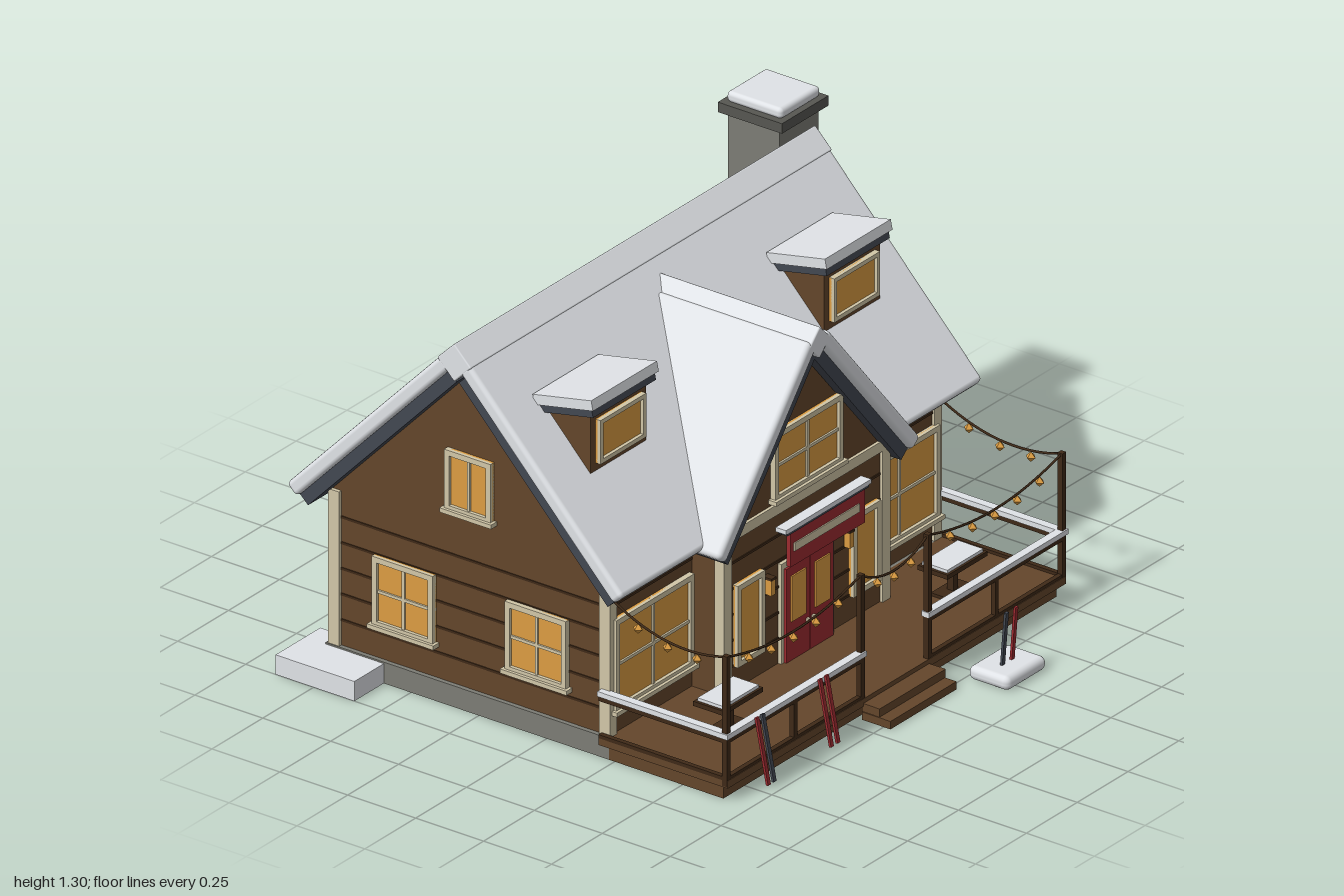
import * as THREE from 'three';
import { RoundedBoxGeometry } from 'three/addons/geometries/RoundedBoxGeometry.js';

const mat = (name, color) => {
  const m = new THREE.MeshStandardMaterial({ color });
  m.name = name;
  return m;
};

export function createModel() {
  const snow = mat('snow', 0xe3e6ea), slate = mat('slate', 0x434852), wood = mat('wood', 0x64462b);
  const darkWood = mat('dark wood', 0x3f2a18), stone = mat('stone', 0x7d7d75), darkStone = mat('dark stone', 0x575752);
  const glow = mat('window glow', 0xdc9c42), cream = mat('cream trim', 0xd2c7a8), red = mat('red paint', 0x9c2b30);
  const model = new THREE.Group();
  model.name = 'cabin';
  const CX = -0.035, CZ = -0.29; // house centre

  const add = (parent, name, geo, material, x = 0, y = 0, z = 0) => {
    const m = new THREE.Mesh(geo, material);
    m.name = name;
    m.position.set(x, y, z);
    parent.add(m);
    return m;
  };
  const group = (name, x = 0, y = 0, z = 0, ry = 0, parent = model) => {
    const g = new THREE.Group();
    g.name = name;
    g.position.set(x, y, z);
    g.rotation.y = ry;
    parent.add(g);
    return g;
  };
  // box given by its min and max along each axis; r rounds the edges
  const span = (name, material, x0, x1, y0, y1, z0, z1, r = 0, parent = model) => {
    const s = [x1 - x0, y1 - y0, z1 - z0];
    const geo = r ? new RoundedBoxGeometry(...s, 2, r) : new THREE.BoxGeometry(...s);
    return add(parent, name, geo, material, (x0 + x1) / 2, (y0 + y1) / 2, (z0 + z1) / 2);
  };
  // gable-ended wall block, extruded along z
  const gableBlock = (half, y0, eave, apex, depth) => {
    const s = new THREE.Shape([[-half, y0], [half, y0], [half, eave], [0, apex], [-half, eave]]
      .map(p => new THREE.Vector2(...p)));
    return new THREE.ExtrudeGeometry(s, { depth, bevelEnabled: false }).translate(0, 0, -depth / 2);
  };
  // two snowy slopes and a diamond ridge, running along z
  const gableRoof = (g, H, slope, W, len, capY, capHalf) => {
    const a = Math.atan(slope), c = Math.cos(a), n = Math.sin(a);
    const slab = (name, s, material, d0, d1, t0, t1, l, r) => {
      const d = (d0 + d1) / 2, t = (t0 + t1) / 2, L = d1 - d0, T = t1 - t0;
      const geo = r ? new RoundedBoxGeometry(L, T, l, 2, r) : new THREE.BoxGeometry(L, T, l);
      add(g, name, geo, material, s * (d * c - t * n), H - d * n - t * c).rotation.z = -s * a;
    };
    for (const s of [-1, 1]) {
      slab('roofSnow', s, snow, 0.075, W / c, 0, 0.05, len, 0.015);
      slab('roofBoards', s, slate, 0.1, W / c - 0.005, 0.048, 0.09, len - 0.04, 0);
    }
    const side = capHalf * Math.SQRT2;
    add(g, 'ridgeSnow', new RoundedBoxGeometry(side, side, len, 1, 0.005), snow, 0, capY).rotation.z = Math.PI / 4;
  };
  // framed window facing +z
  const windowUnit = (name, w, h, x, y, z, ry = 0, cols = 2, rows = 2, f = 0.018, parent = model) => {
    const g = group(name, x, y, z, ry, parent);
    span('pane', glow, -w / 2, w / 2, -h / 2, h / 2, 0, 0.008, 0, g);
    for (const s of [-1, 1]) {
      add(g, 'frameSide', new THREE.BoxGeometry(f, h, 0.022), cream, s * (w - f) / 2, 0, 0.008);
      add(g, 'frameRail', new THREE.BoxGeometry(w, f, 0.022), cream, 0, s * (h - f) / 2, 0.008);
    }
    for (let i = 1; i < cols; i++)
      add(g, 'mullion', new THREE.BoxGeometry(0.01, h, 0.016), cream, -w / 2 + w * i / cols, 0, 0.006);
    for (let i = 1; i < rows; i++)
      add(g, 'crossbar', new THREE.BoxGeometry(w, 0.01, 0.016), cream, 0, -h / 2 + h * i / rows, 0.006);
    if (cols > 1) add(g, 'sill', new THREE.BoxGeometry(w + 0.02, 0.014, 0.034), cream, 0, -h / 2, 0.012);
  };

  // main house
  span('foundation', stone, CX - 0.82, CX + 0.82, 0, 0.07, -0.815, 0.23);
  add(model, 'houseWalls', gableBlock(0.51, 0.07, 0.59, 1.125, 1.61), wood, CX, 0, CZ).rotation.y = Math.PI / 2;
  gableRoof(group('mainRoof', CX, 0, CZ, Math.PI / 2), 1.245, 1.05, 0.62, 1.78, 1.182, 0.063);
  for (const s of [-1, 1]) for (const z of [-0.787, 0.21])
    add(model, 'cornerTrim', new THREE.BoxGeometry(0.036, 0.51, 0.04), cream, CX + s * 0.799, 0.325, z);

  // front bay
  add(model, 'bayWalls', gableBlock(0.4, 0.05, 0.56, 1.03, 0.335), wood, CX, 0, 0.1675);
  gableRoof(group('bayRoof', CX, 0, 0.07), 1.174, 1.19, 0.498, 0.645, 1.095, 0.053);
  for (const s of [-1, 1])
    add(model, 'bayTrim', new THREE.BoxGeometry(0.038, 0.52, 0.036), cream, CX + s * 0.39, 0.32, 0.327);
  span('bayBeam', cream, CX - 0.39, CX + 0.39, 0.57, 0.605, 0.33, 0.345);

  // siding grooves
  for (let y = 0.15; y < 0.56; y += 0.085) {
    span('groove', darkWood, CX - 0.8, CX + 0.8, y, y + 0.008, -0.803, 0.223);
    span('groove', darkWood, CX - 0.808, CX + 0.808, y, y + 0.008, -0.78, 0.2);
    span('groove', darkWood, CX - 0.39, CX + 0.39, y, y + 0.008, 0.3, 0.338);
  }

  // windows
  for (const s of [-1, 1]) {
    windowUnit('frontWindow', 0.385, 0.305, CX + s * 0.605, 0.3, 0.22);
    windowUnit('bayWindow', 0.135, 0.27, CX + s * 0.285, 0.285, 0.335, 0, 1, 1);
    windowUnit('backWindow', 0.2, 0.19, CX + s * 0.425, 0.29, -0.8, Math.PI, 1, 1, 0.012);
  }
  windowUnit('gableWindow', 0.335, 0.225, CX, 0.735, 0.335);
  windowUnit('rightWindow', 0.225, 0.23, CX + 0.805, 0.295, -0.015, Math.PI / 2);
  windowUnit('leftWindow', 0.225, 0.23, CX - 0.805, 0.295, -0.04, -Math.PI / 2);
  windowUnit('leftWindow', 0.225, 0.23, CX - 0.805, 0.295, -0.53, -Math.PI / 2);
  windowUnit('atticWindow', 0.17, 0.2, CX - 0.805, 0.745, CZ, -Math.PI / 2, 2, 1);

  // dormers, with roofs kicked up at the front
  for (const s of [-1, 1]) {
    const g = group('dormer', CX + s * 0.575);
    span('dormerBody', wood, -0.137, 0.137, 0.855, 1.045, -0.1, 0.08, 0, g);
    windowUnit('dormerWindow', 0.225, 0.145, 0, 0.955, 0.08, 0, 1, 1, 0.014, g);
    const roof = group('dormerRoof', 0, 1.06, 0, 0, g);
    roof.rotation.x = -0.2;
    span('dormerBoards', slate, -0.155, 0.155, -0.025, 0.002, -0.1, 0.1, 0, roof);
    span('dormerSnow', snow, -0.162, 0.162, 0, 0.033, -0.11, 0.11, 0, roof);
  }

  // front door, sign and lanterns
  const door = group('frontDoor', CX, 0, 0.335);
  span('doorFrame', cream, -0.13, 0.13, 0.07, 0.4, 0, 0.012, 0, door);
  for (const s of [-1, 1]) {
    span('doorLeaf', red, s * 0.059 - 0.057, s * 0.059 + 0.057, 0.07, 0.38, 0.005, 0.02, 0, door);
    span('doorPane', glow, s * 0.059 - 0.036, s * 0.059 + 0.036, 0.2, 0.35, 0.018, 0.025, 0, door);
    span('doorKnob', cream, s * 0.014 - 0.005, s * 0.014 + 0.005, 0.17, 0.18, 0.02, 0.03, 0, door);
    span('lantern', glow, s * 0.193 - 0.01, s * 0.193 + 0.01, 0.33, 0.38, 0.008, 0.03, 0, door);
    span('lanternCap', darkWood, s * 0.193 - 0.012, s * 0.193 + 0.012, 0.38, 0.388, 0, 0.032, 0, door);
  }
  span('signBoard', red, CX - 0.175, CX + 0.19, 0.43, 0.55, 0.4, 0.415);
  span('signStripe', cream, CX - 0.16, CX + 0.16, 0.478, 0.505, 0.413, 0.419);
  span('signCap', slate, CX - 0.2, CX + 0.2, 0.545, 0.555, 0.388, 0.422);
  span('signSnow', snow, CX - 0.21, CX + 0.21, 0.554, 0.568, 0.386, 0.424);

  // chimney
  span('chimneyBase', stone, 0.755, 1, 0, 0.4, -0.595, -0.335);
  span('chimneyLedge', darkStone, 0.78, 0.982, 0.4, 0.42, -0.57, -0.36);
  span('chimneyStack', stone, 0.785, 0.975, 0.4, 1.24, -0.56, -0.37);
  span('chimneyBand', darkStone, 0.78, 0.98, 0.845, 0.865, -0.566, -0.364);
  span('chimneyCap', darkStone, 0.764, 0.993, 1.235, 1.268, -0.582, -0.346);
  span('chimneySnow', snow, 0.782, 0.978, 1.266, 1.302, -0.566, -0.362, 0.014);

  // porch deck and steps
  span('deckSkirt', wood, CX - 0.82, CX + 0.82, 0, 0.045, 0.23, 0.65);
  span('deckFloor', wood, CX - 0.832, CX + 0.832, 0.045, 0.07, 0.2, 0.675);
  span('upperStep', wood, -0.2, 0.125, 0.028, 0.055, 0.67, 0.735);
  span('lowerStep', wood, -0.2, 0.125, 0, 0.026, 0.67, 0.775);

  // railings and posts
  const PZ = 0.665, posts = [-0.86, -0.2, 0.13, 0.79];
  for (const x of posts) span('tallPost', darkWood, x - 0.009, x + 0.009, 0.05, 0.48, PZ - 0.009, PZ + 0.009);
  for (const [x0, x1] of [[-0.86, -0.2], [0.13, 0.79]]) {
    const m = (x0 + x1) / 2;
    span('railBeam', darkWood, x0, x1, 0.192, 0.21, PZ - 0.009, PZ + 0.009);
    span('railSnow', snow, x0 - 0.012, x1 + 0.012, 0.208, 0.225, PZ - 0.014, PZ + 0.014);
    span('lowRail', darkWood, x0, x1, 0.068, 0.08, PZ - 0.008, PZ + 0.008);
    span('shortPost', darkWood, m - 0.008, m + 0.008, 0.05, 0.2, PZ - 0.008, PZ + 0.008);
  }
  for (const x of [-0.86, 0.79]) {
    span('sideRailBeam', darkWood, x - 0.009, x + 0.009, 0.192, 0.21, 0.2, PZ);
    span('sideRailSnow', snow, x - 0.014, x + 0.014, 0.208, 0.225, 0.2, PZ + 0.014);
    span('sideLowRail', darkWood, x - 0.008, x + 0.008, 0.068, 0.08, 0.2, PZ);
  }

  // string lights
  const lights = (a, b, count) => {
    const mid = a.clone().lerp(b, 0.5);
    mid.y -= 0.1;
    const curve = new THREE.QuadraticBezierCurve3(a, mid, b);
    add(model, 'lightString', new THREE.TubeGeometry(curve, 16, 0.004, 5), darkWood);
    for (let i = 1; i <= count; i++) {
      const p = curve.getPoint(i / (count + 1));
      add(model, 'lightBulb', new THREE.OctahedronGeometry(0.017), glow, p.x, p.y - 0.02, p.z);
    }
  };
  const V = (x, y, z) => new THREE.Vector3(x, y, z);
  [5, 3, 5].forEach((n, i) => lights(V(posts[i], 0.475, PZ), V(posts[i + 1], 0.475, PZ), n));
  for (const s of [-1, 1]) lights(V(CX + s * 0.825, 0.475, PZ), V(CX + s * 0.81, 0.535, 0.22), 3);

  // porch tables
  for (const s of [-1, 1]) {
    const g = group('porchTable', CX + s * 0.552, 0, 0.467);
    span('tableTop', darkWood, -0.098, 0.098, 0.165, 0.18, -0.055, 0.055, 0, g);
    span('tableSnow', snow, -0.088, 0.088, 0.179, 0.19, -0.047, 0.047, 0, g);
    span('tableLeg', darkWood, -0.012, 0.012, 0.07, 0.17, -0.012, 0.012, 0, g);
    span('tableFoot', darkWood, -0.06, 0.06, 0.07, 0.08, -0.035, 0.035, 0, g);
  }

  // skis, leaning on the railing and standing in a snow heap
  const ski = (x, material, y, z, lean, h) =>
    add(model, 'ski', new THREE.BoxGeometry(0.014, h, 0.008), material, x, y, z).rotation.x = lean;
  [[-0.735, red], [-0.707, slate], [-0.425, red], [-0.393, red]].forEach(([x, m]) => ski(x, m, 0.125, 0.705, -0.2, 0.215));
  span('skiHeap', snow, 0.195, 0.39, 0, 0.046, 0.762, 0.912, 0.02);
  ski(0.263, slate, 0.13, 0.848, 0.08, 0.185);
  ski(0.31, red, 0.13, 0.848, 0.08, 0.185);

  // wood box and snow drifts
  span('woodBox', wood, 0.85, 0.933, 0, 0.135, -0.3, -0.08);
  span('woodBoxSnow', snow, 0.842, 0.94, 0.133, 0.155, -0.31, -0.073);
  span('leftDrift', snow, -1, -0.78, 0, 0.065, -0.89, -0.6);
  span('rightDrift', snow, 0.715, 0.99, 0, 0.06, -0.915, -0.745);
  return model;
}
